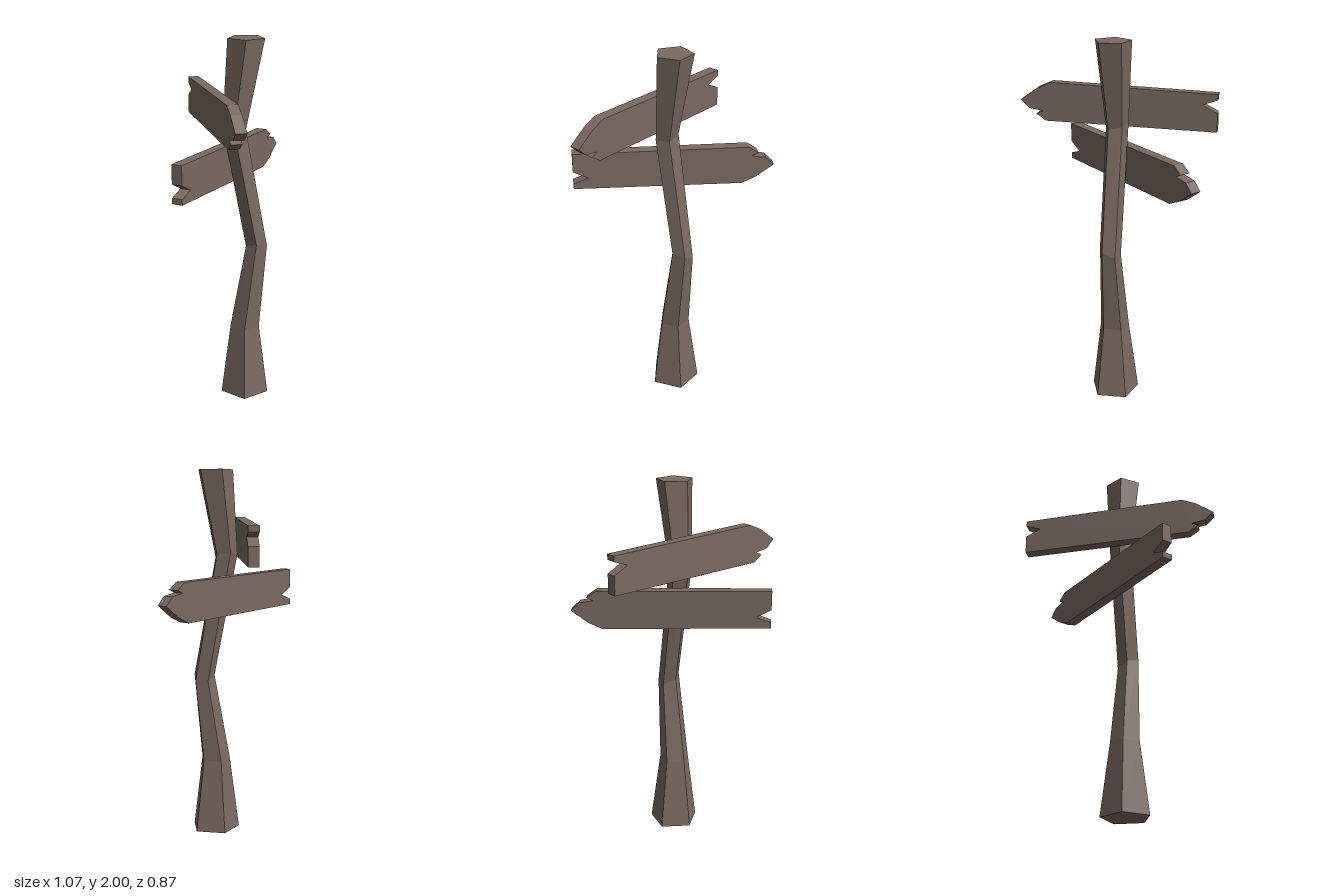
import * as THREE from 'three';

const wood = new THREE.MeshStandardMaterial({ color: 0x7a6a61 });
wood.name = 'weathered wood';

// Crooked five-sided post: one row per ring from the ground up
function createPost() {
  // [y, centre x, centre z, radius, tilt along x, tilt along z]
  const rings = [
    [0, 0.0075, 0.1, 0.1366, 0, 0],
    [0.4, 0.006, 0.1, 0.083, 0, 0],
    [0.867, 0.049, 0.145, 0.06, -0.3, 0.25],
    [1.54, -0.036, 0.057, 0.064, 0.1, -0.25],
    [2, 0.0065, 0.1, 0.1007, 0, 0],
  ];
  const n = rings.length - 1;
  const indexed = new THREE.CylinderGeometry(1, 1, n, 5, n, false, Math.PI / 2);
  const p = indexed.attributes.position;
  for (let i = 0; i < p.count; i++) {
    const [y, cx, cz, r, tx, tz] = rings[Math.round(p.getY(i) + n / 2)];
    const dx = p.getX(i) * r, dz = p.getZ(i) * r;
    p.setXYZ(i, cx + dx, y + dx * tx + dz * tz, cz + dz);
  }
  const geometry = indexed.toNonIndexed();
  geometry.computeVertexNormals(); // flat facets
  const post = new THREE.Mesh(geometry, wood);
  post.name = 'post';
  return post;
}

// Arrow board outline pointing along +x, heights relative to its tip line
const outline = [
  [-0.535, -0.117], [0.397, -0.099], [0.45, -0.062], [0.413, -0.045],
  [0.49, -0.033], [0.536, 0.012], [0.44, 0.08], [0.364, 0.113],
  [-0.535, 0.087], [-0.535, 0.056], [-0.455, 0.028], [-0.535, -0.014],
].map(([x, y]) => new THREE.Vector2(x, y));

const thickness = 0.058;
const boardGeometry = new THREE.ExtrudeGeometry(new THREE.Shape(outline), {
  depth: thickness, bevelEnabled: false,
}).translate(0, 0, -thickness / 2);

function createBoard(name, position, heading, flip) {
  const board = new THREE.Mesh(boardGeometry, wood);
  board.name = name;
  board.position.set(...position);
  board.rotation.set(flip ? Math.PI : 0, heading, 0, 'YXZ');
  return board;
}

export function createModel() {
  const signpost = new THREE.Group();
  signpost.name = 'signpost';
  signpost.add(
    createPost(),
    createBoard('upperBoard', [-0.126, 1.625, 0], -2.245, false),
    // same plank turned upside down
    createBoard('lowerBoard', [0.0015, 1.325, -0.01], 0.159, true),
  );
  return signpost;
}
